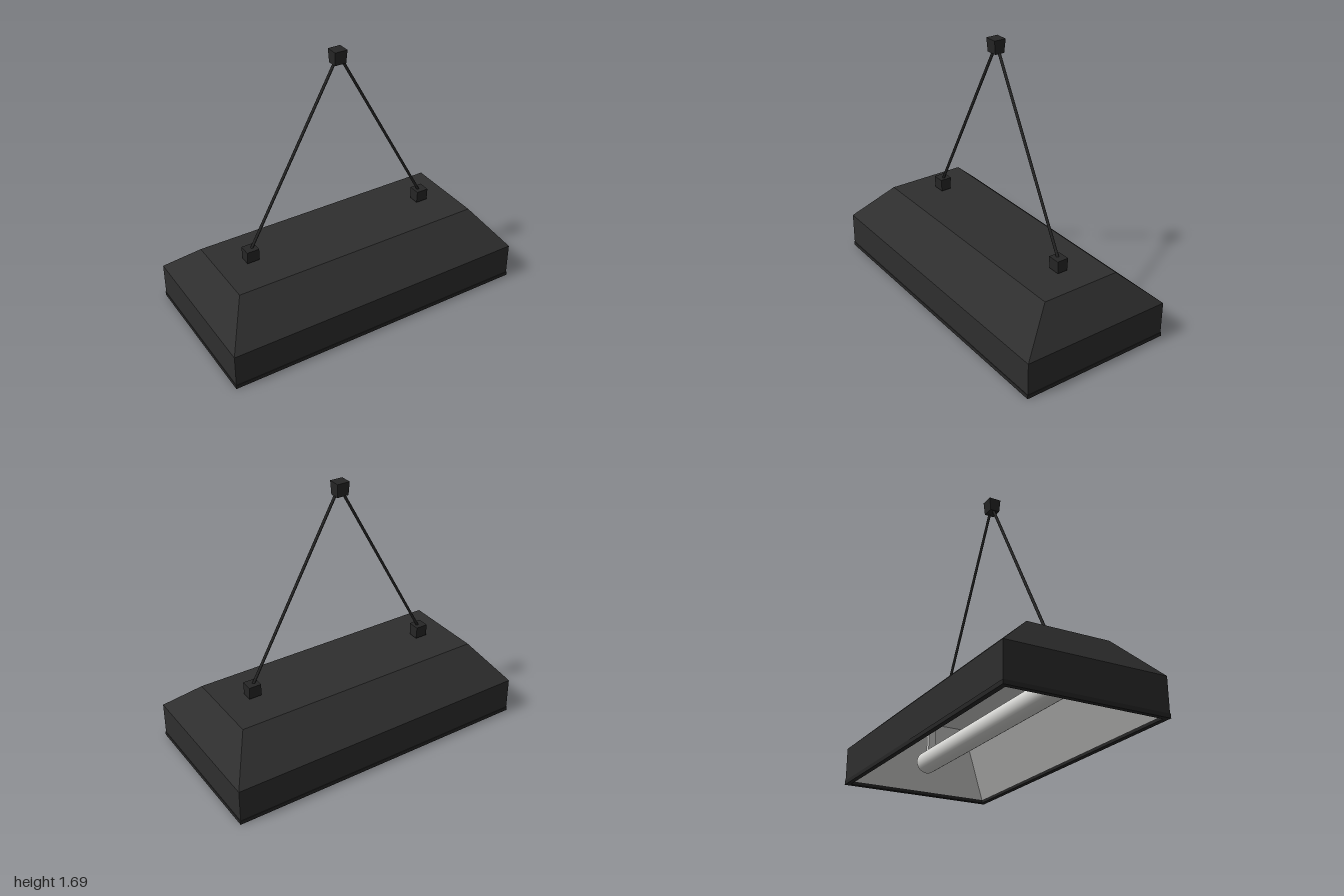
import * as THREE from 'three';

// Lofts rectangles [y, halfX, halfZ] in order; a rising list faces out, a falling one faces in.
function loft(sections, capStart, capEnd) {
  const p = [];
  const ring = ([y, x, z]) => [[x, y, z], [x, y, -z], [-x, y, -z], [-x, y, z]];
  const quad = (a, b, c, d) => p.push(...a, ...b, ...c, ...a, ...c, ...d);
  const rings = sections.map(ring);
  for (let i = 0; i < rings.length - 1; i++) {
    for (let k = 0; k < 4; k++) {
      const n = (k + 1) % 4;
      quad(rings[i][k], rings[i][n], rings[i + 1][n], rings[i + 1][k]);
    }
  }
  if (capStart) quad(...[...rings[0]].reverse());
  if (capEnd) quad(...rings[rings.length - 1]);
  const g = new THREE.BufferGeometry();
  g.setAttribute('position', new THREE.Float32BufferAttribute(p, 3));
  g.computeVertexNormals();
  return g;
}

// Cylinder between two points
function rod(a, b, r, sides) {
  const d = b.clone().sub(a);
  const g = new THREE.CylinderGeometry(r, r, d.length(), sides);
  g.applyQuaternion(new THREE.Quaternion().setFromUnitVectors(new THREE.Vector3(0, 1, 0), d.normalize()));
  const m = a.clone().add(b).multiplyScalar(0.5);
  return g.translate(m.x, m.y, m.z);
}

export function createModel() {
  const group = new THREE.Group();
  const material = (name, color) => {
    const m = new THREE.MeshStandardMaterial({ color });
    m.name = name;
    return m;
  };
  const black = material('blackMetal', 0x2e2e2e);
  const dark = material('darkFittings', 0x262626);
  const white = material('whiteReflector', 0xcdcdcb);
  const glow = material('lampWhite', 0xd6d6d3);
  const add = (name, geometry, mat) => {
    const m = new THREE.Mesh(geometry, mat);
    m.name = name;
    group.add(m);
    return m;
  };
  const v = (x, y, z) => new THREE.Vector3(x, y, z);

  // Hood: straight skirt, sloped shoulders, flat top
  add('hood', loft([[0.02, 0.997, 0.497], [0.235, 0.997, 0.497], [0.45, 0.83, 0.26]], false, true), black);

  // Thin lip around the opening
  add('rim', loft([[0.02, 0.97, 0.47], [0, 0.97, 0.47], [0, 1, 0.5], [0.025, 1, 0.5], [0.025, 0.99, 0.49]]), dark);

  // Pale sloping inside, closed above
  add('reflector', loft([[0.435, 0.83, 0.255], [0.015, 0.972, 0.472]], true), white);

  // Lamp tube along the hood
  add('lampTube', rod(v(-0.86, 0.18, 0), v(0.86, 0.18, 0), 0.07, 32), glow);

  for (const s of [-1, 1]) {
    const side = s > 0 ? 'left' : 'right';
    // Lamp holder under the reflector ceiling
    add(side + 'LampHolder', new THREE.BoxGeometry(0.03, 0.22, 0.05).translate(s * 0.8, 0.325, 0), white);
    // Cable anchor block and sloping cable
    add(side + 'Anchor', loft([[0.46, 0.04, 0.034], [0.54, 0.04, 0.038]], true, true), dark).position.x = s * 0.62;
    add(side + 'Cable', rod(v(s * 0.62, 0.52, 0), v(s * 0.01, 1.64, 0), 0.009, 8), dark);
  }

  // Ceiling block joining the cables
  add('ceilingBlock', loft([[1.605, 0.038, 0.031], [1.69, 0.041, 0.039]], true, true), dark).position.x = -0.005;

  return group;
}
